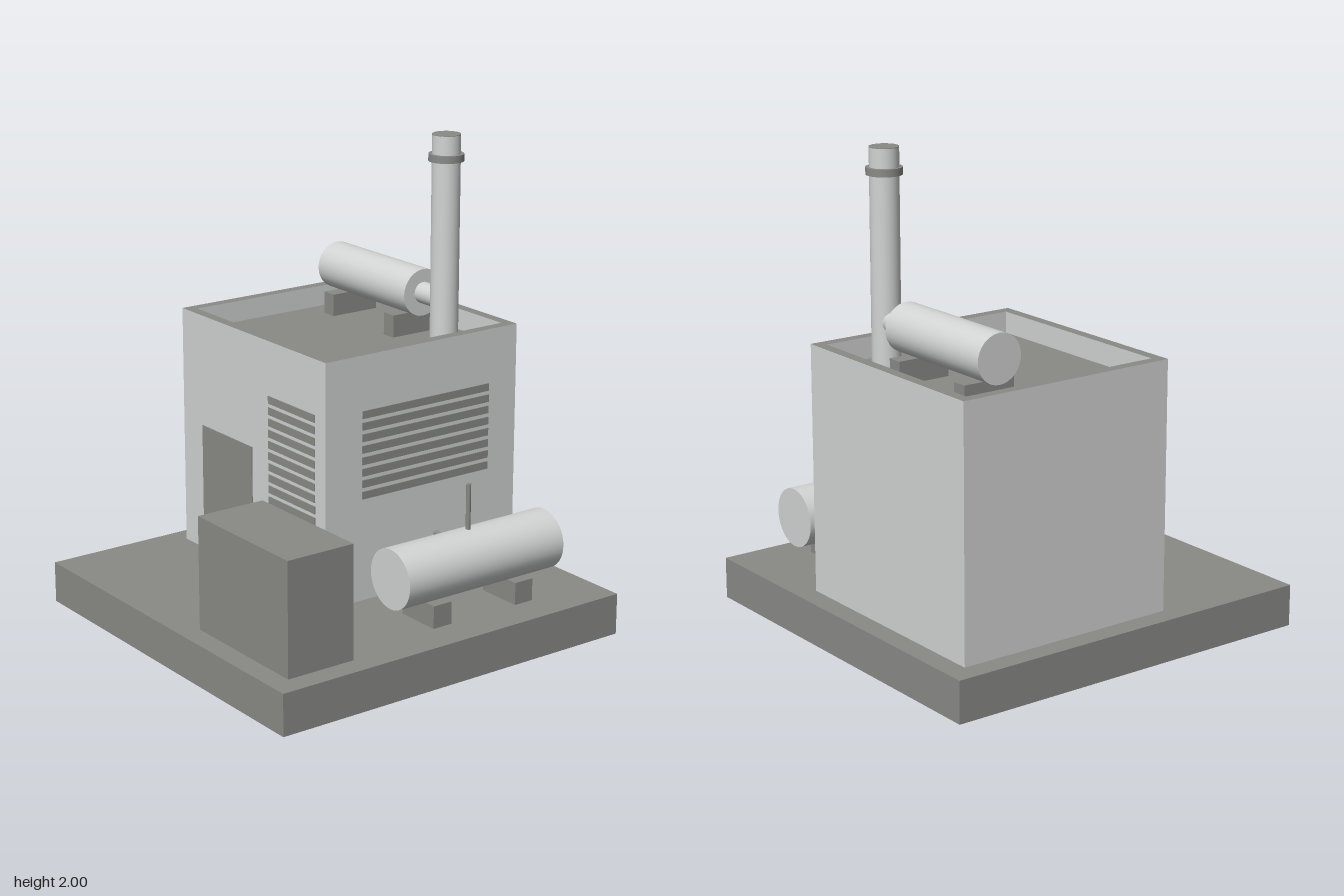
import * as THREE from 'three';

const mat = (name, color) => {
  const m = new THREE.MeshStandardMaterial({ color, side: THREE.DoubleSide });
  m.name = name;
  return m;
};

export function createModel() {
  const light = mat('light grey', 0xd2d4d3);
  const dark = mat('dark grey', 0x8a8b87);
  const model = new THREE.Group();

  const add = (name, geometry, material, parent = model) => {
    const mesh = new THREE.Mesh(geometry, material);
    mesh.name = name;
    parent.add(mesh);
    return mesh;
  };

  // Box given by its limits; open lists the face numbers left out (2 top, 3 bottom)
  const box = (name, [x0, x1], [y0, y1], [z0, z1], material, open = [], parent = model) => {
    const g = new THREE.BoxGeometry(x1 - x0, y1 - y0, z1 - z0);
    const index = Array.from(g.index.array).filter((_, i) => !open.includes(Math.floor(i / 6)));
    g.setIndex(index);
    g.clearGroups();
    g.translate((x0 + x1) / 2, (y0 + y1) / 2, (z0 + z1) / 2);
    return add(name, g, material, parent);
  };

  // Cylinder from one end point to the other
  const rod = (name, from, to, radius, material, sides = 32) => {
    const a = new THREE.Vector3(...from), b = new THREE.Vector3(...to);
    const dir = b.clone().sub(a);
    const mesh = add(name, new THREE.CylinderGeometry(radius, radius, dir.length(), sides), material);
    mesh.position.copy(a).add(b).multiplyScalar(0.5);
    mesh.quaternion.setFromUnitVectors(new THREE.Vector3(0, 1, 0), dir.normalize());
    return mesh;
  };

  // Hollow base slab, open underneath
  box('base', [-0.835, 0.835], [0, 0.175], [-0.835, 0.835], dark, [3]);

  // Building walls run down into the hollow base
  const X = [-0.745, 0.275], Z = [-0.745, 0.23], roofY = 1.12, topY = 1.21;
  box('buildingWalls', X, [0.07, roofY], Z, light, [2, 3]);
  box('roof', [X[0] + 0.001, X[1] - 0.001], [roofY - 0.01, roofY], [Z[0] + 0.001, Z[1] - 0.001], dark);

  // Parapet: dark rim on top, light sides
  const rect = (path, x0, x1, z0, z1) =>
    path.moveTo(x0, -z0).lineTo(x0, -z1).lineTo(x1, -z1).lineTo(x1, -z0).closePath();
  const ring = new THREE.Shape();
  rect(ring, X[0], X[1], Z[0], Z[1]);
  const hole = new THREE.Path();
  rect(hole, -0.7, 0.23, -0.7, 0.185);
  ring.holes.push(hole);
  const parapet = new THREE.ExtrudeGeometry(ring, { depth: topY - roofY, bevelEnabled: false });
  parapet.rotateX(-Math.PI / 2).translate(0, roofY, 0);
  add('parapet', parapet, [dark, light]);

  // Door and louvres
  box('door', [-0.6, -0.235], [0.175, 0.73], [Z[1], Z[1] + 0.004], dark);
  const louvre = (name, count, y0, y1, xr, zr) => {
    const group = new THREE.Group();
    group.name = name;
    model.add(group);
    const h = 0.032, pitch = (y1 - y0 - h) / (count - 1);
    for (let i = 0; i < count; i++) {
      const y = y0 + i * pitch;
      box('slat', xr, [y, y + h], zr, dark, [], group);
    }
  };
  louvre('frontLouvre', 11, 0.47, 0.98, [-0.115, 0.205], [Z[1], Z[1] + 0.004]);
  louvre('sideLouvre', 8, 0.61, 0.98, [X[1], X[1] + 0.004], [-0.6, 0.05]);

  // Silencer on the roof with its two supports
  const pz = -0.51, py = 1.31;
  rod('silencer', [-0.65, py, pz], [-0.05, py, pz], 0.1, light);
  rod('exhaustConnector', [-0.05, py, pz], [0.07, py, pz], 0.045, light);
  for (const x of [-0.56, -0.14])
    box('silencerSupport', [x - 0.033, x + 0.033], [roofY, 1.215], [-0.63, -0.4], dark);

  // Exhaust stack with collar and dark opening
  rod('exhaustStack', [0.09, roofY, pz], [0.09, 1.998, pz], 0.059, light);
  rod('stackOpening', [0.09, 1.997, pz], [0.09, 2, pz], 0.059, dark);
  rod('stackCollar', [0.09, 1.89, pz], [0.09, 1.92, pz], 0.073, dark);

  // Fuel tank with supports and pipes
  const tx = 0.58, ty = 0.385;
  rod('fuelTank', [tx, ty, -0.65], [tx, ty, 0.14], 0.125, light, 40);
  for (const z of [-0.045, -0.465])
    box('tankSupport', [tx - 0.1, tx + 0.1], [0.175, 0.27], [z - 0.045, z + 0.045], dark);
  rod('ventPipe', [tx, 0.5, -0.25], [tx, 0.7, -0.25], 0.01, dark, 12);
  rod('feedPipe', [X[1], ty, -0.33], [0.47, ty, -0.33], 0.01, dark, 12);

  // Equipment cabinet
  box('cabinet', [0.14, 0.74], [0.175, 0.65], [0.44, 0.745], dark);

  return model;
}
